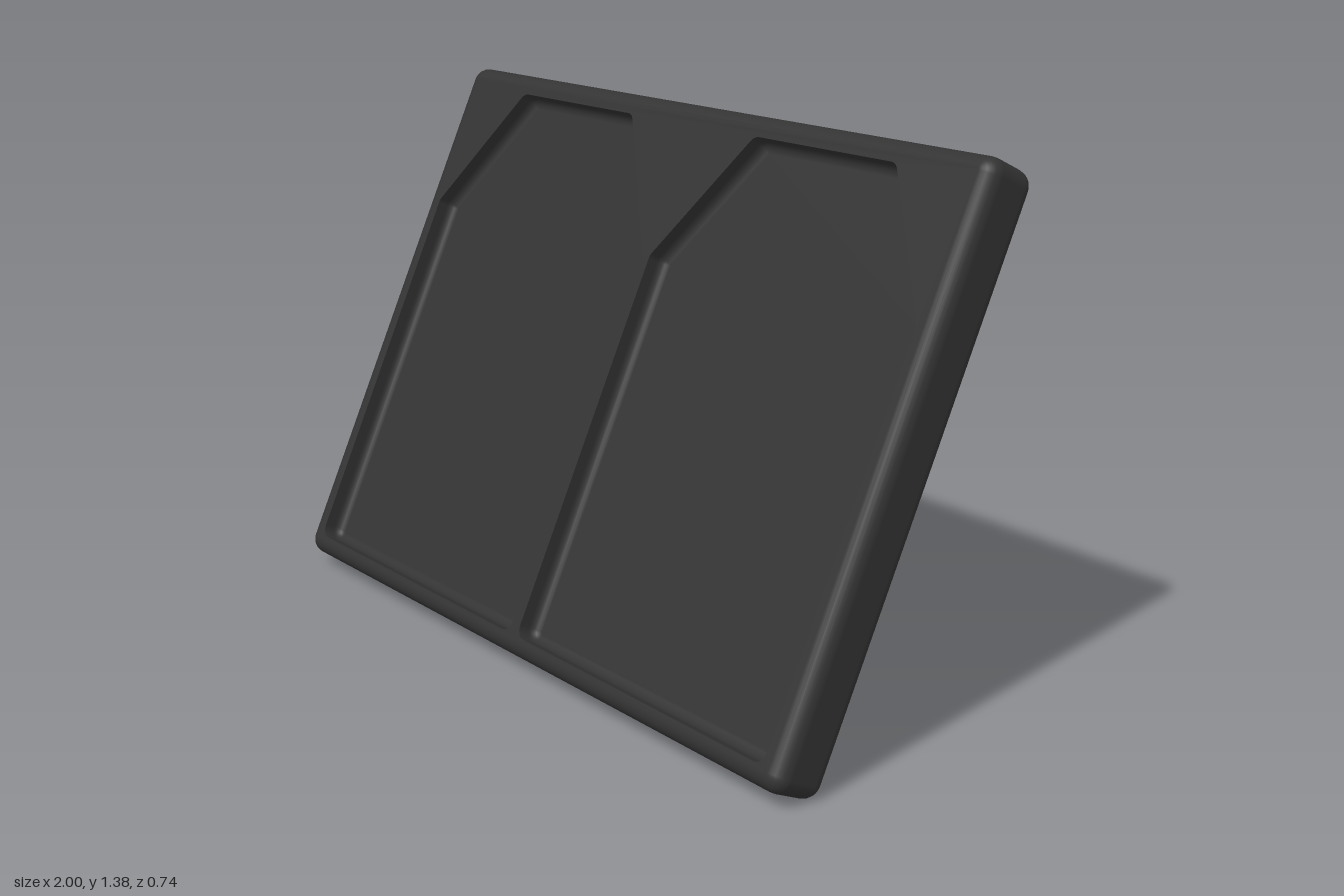
import * as THREE from 'three';

const W = 2, H = 1.48, T = 0.16;      // slab size
const EDGE = 0.04, DEPTH = 0.055;     // slab edge radius, pocket depth
const FILLET = 0.025;                 // pocket floor fillet

// Rounded, inset loop of a convex counter-clockwise polygon: [x, y, normalX, normalY]
function outline(poly, radius, inset, steps = 6) {
  const out = [];
  const normal = (a, b) => {
    const l = Math.hypot(b[0] - a[0], b[1] - a[1]);
    return [(b[1] - a[1]) / l, -(b[0] - a[0]) / l];
  };
  poly.forEach((p, i) => {
    const n0 = normal(poly[(i + poly.length - 1) % poly.length], p);
    const n1 = normal(p, poly[(i + 1) % poly.length]);
    const dot = n0[0] * n1[0] + n0[1] * n1[1];
    const k = radius / (1 + dot);
    const cx = p[0] - k * (n0[0] + n1[0]), cy = p[1] - k * (n0[1] + n1[1]);
    const start = Math.atan2(n0[1], n0[0]), turn = Math.acos(dot);
    for (let s = 0; s <= steps; s++) {
      const a = start + turn * s / steps, nx = Math.cos(a), ny = Math.sin(a);
      out.push([cx + (radius - inset) * nx, cy + (radius - inset) * ny, nx, ny]);
    }
  });
  return out;
}

// Joins loops along a profile of {inset, z, side, up}, where side and up give the normal
function sweep(poly, radius, profile) {
  const pos = [], nor = [], idx = [];
  profile.forEach(({ inset, z, side, up }) => {
    for (const [x, y, nx, ny] of outline(poly, radius, inset)) {
      pos.push(x, y, z);
      nor.push(nx * side, ny * side, up);
    }
  });
  const n = pos.length / 3 / profile.length;
  for (let k = 0; k < profile.length - 1; k++) {
    for (let j = 0; j < n; j++) {
      const a = k * n + j, b = k * n + (j + 1) % n;
      idx.push(a, b, b + n, a, b + n, a + n);
    }
  }
  const g = new THREE.BufferGeometry();
  g.setAttribute('position', new THREE.Float32BufferAttribute(pos, 3));
  g.setAttribute('normal', new THREE.Float32BufferAttribute(nor, 3));
  g.setIndex(idx);
  return g;
}

const toVectors = loop => loop.map(([x, y]) => new THREE.Vector2(x, y));

export function createModel() {
  const model = new THREE.Group();
  const slab = new THREE.Group();
  slab.name = 'tiltedSlab';
  model.add(slab);

  const charcoal = new THREE.MeshStandardMaterial({ color: 0x333333 });
  charcoal.name = 'charcoal';
  const add = (name, geometry) => {
    const mesh = new THREE.Mesh(geometry, charcoal);
    mesh.name = name;
    slab.add(mesh);
    return mesh;
  };

  const rect = [[-W / 2, -H / 2], [W / 2, -H / 2], [W / 2, H / 2], [-W / 2, H / 2]];
  const rectRadius = EDGE + 0.002;

  // Rounded rim running from the back face to the front face
  const rim = [];
  for (const half of [-1, 1]) {
    for (let s = 0; s <= 6; s++) {
      const t = (half < 0 ? s - 6 : s) / 6 * Math.PI / 2;
      rim.push({
        inset: EDGE * (1 - Math.cos(t)),
        z: half * (T / 2 - EDGE) + EDGE * Math.sin(t),
        side: Math.cos(t), up: Math.sin(t),
      });
    }
  }
  add('outerRim', sweep(rect, rectRadius, rim));

  // Two clipped-corner pockets, mirrored across the middle
  const right = [[0.016, -0.689], [0.94, -0.689], [0.94, 0.332],
    [0.72, 0.68], [0.24, 0.68], [0.016, 0.332]];
  const left = right.map(([x, y]) => [-x, y]).reverse();
  const pocketRadius = 0.03;

  // Front face with the pocket openings
  const faceLoop = toVectors(outline(rect, rectRadius, EDGE));
  const front = new THREE.Shape(faceLoop);
  for (const p of [left, right]) {
    front.holes.push(new THREE.Path(toVectors(outline(p, pocketRadius, 0))));
  }
  add('frontFace', new THREE.ShapeGeometry(front)).position.z = T / 2;

  // Plain back face
  const back = add('backFace', new THREE.ShapeGeometry(new THREE.Shape(faceLoop)));
  back.rotation.y = Math.PI;
  back.position.z = -T / 2;

  // Pocket walls with a soft fillet down to the floor
  const floorZ = T / 2 - DEPTH;
  const wall = [{ inset: 0, z: T / 2, side: -1, up: 0 }];
  for (let s = 0; s <= 5; s++) {
    const t = s / 5 * Math.PI / 2;
    wall.push({
      inset: FILLET * (1 - Math.cos(t)),
      z: floorZ + FILLET * (1 - Math.sin(t)),
      side: -Math.cos(t), up: Math.sin(t),
    });
  }
  for (const [name, p] of [['leftPocket', right], ['rightPocket', left]]) {
    add(name + 'Wall', sweep(p, pocketRadius, wall));
    const floor = new THREE.Shape(toVectors(outline(p, pocketRadius, FILLET)));
    add(name + 'Floor', new THREE.ShapeGeometry(floor)).position.z = floorZ;
  }

  // Lean the slab back and stand it on the ground
  slab.rotation.x = -THREE.MathUtils.degToRad(25);
  slab.position.y = 0.691;
  return model;
}
